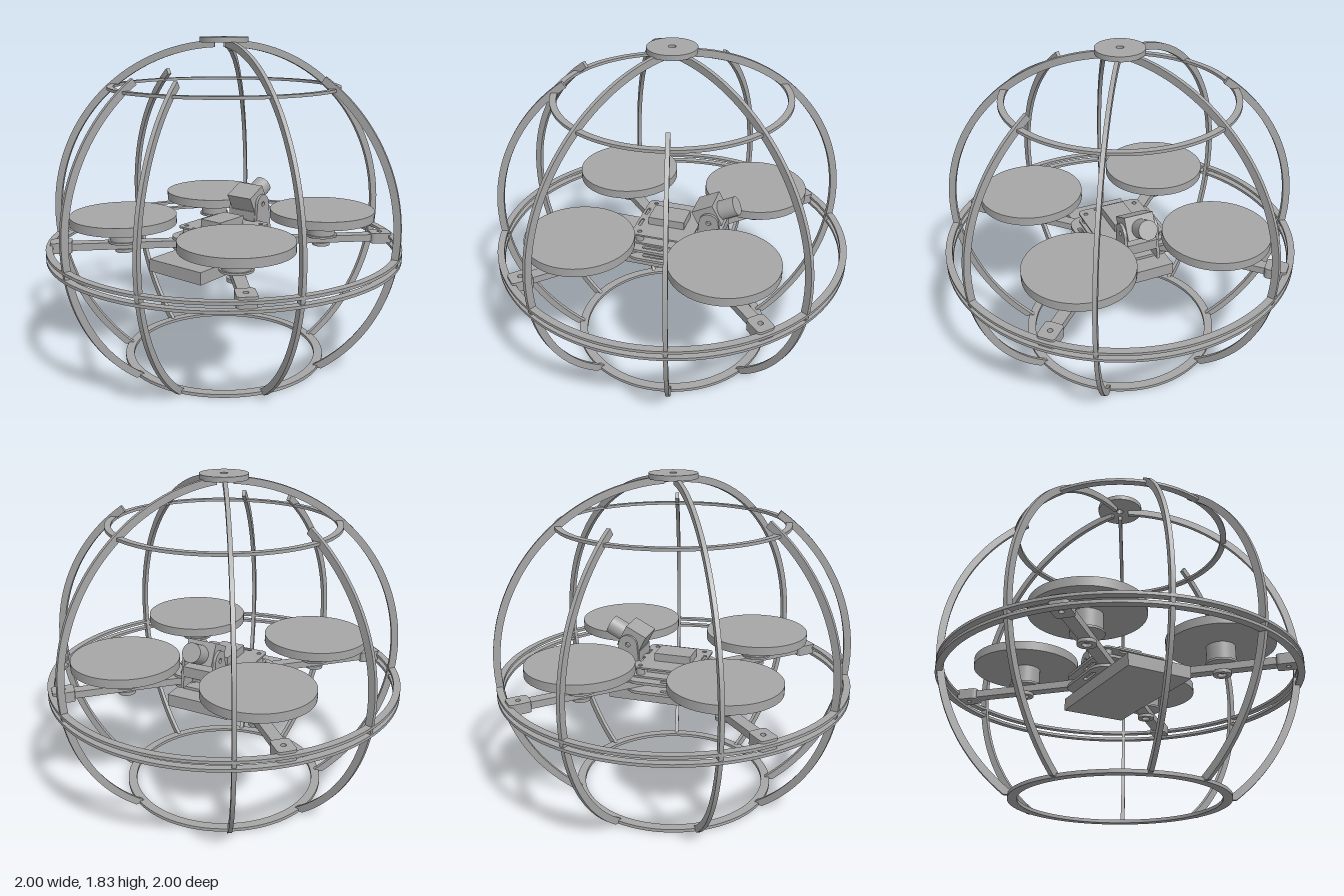
import * as THREE from 'three';
import { toCreasedNormals } from 'three/addons/utils/BufferGeometryUtils.js';

const rad = THREE.MathUtils.degToRad;

export function createModel() {
  const model = new THREE.Group();
  const grey = new THREE.MeshStandardMaterial({ color: 0xa6a6a6 });

  const add = (name, geo, x = 0, y = 0, z = 0, parent = model) => {
    const m = new THREE.Mesh(geo, grey);
    m.name = name;
    m.position.set(x, y, z);
    parent.add(m);
    return m;
  };
  const box = (w, h, d) => new THREE.BoxGeometry(w, h, d);
  const cyl = (r, h, n = 48) => new THREE.CylinderGeometry(r, r, h, n);
  const circle = (r, x = 0, y = 0) => new THREE.Path().absarc(x, y, r, 0, Math.PI * 2, true);
  // Flat part: the outline lies in the ground plane and rises by h
  const plate = (shape, h, seg = 24) => toCreasedNormals(
    new THREE.ExtrudeGeometry(shape, { depth: h, bevelEnabled: false, curveSegments: seg })
      .rotateX(-Math.PI / 2), 0.5);
  const ring = (ro, ri, h) => {
    const s = new THREE.Shape().absarc(0, 0, ro, 0, Math.PI * 2, false);
    s.holes.push(circle(ri));
    return plate(s, h, 96);
  };
  // Rounded rectangle, as an outline or a slot
  const rounded = (P, w, d, r, x = 0, y = 0) => {
    const p = new P(), a = w / 2 - r, b = d / 2 - r;
    p.absarc(x + a, y + b, r, 0, Math.PI / 2, false);
    p.absarc(x - a, y + b, r, Math.PI / 2, Math.PI, false);
    p.absarc(x - a, y - b, r, Math.PI, Math.PI * 1.5, false);
    p.absarc(x + a, y - b, r, Math.PI * 1.5, Math.PI * 2, false);
    p.closePath();
    return p;
  };

  // Cage hoops and the cap
  add('bottomHoop', ring(0.58, 0.53, 0.018));
  add('lowerEquatorHoop', ring(1, 0.962, 0.016), 0, 0.637);
  add('upperEquatorHoop', ring(1, 0.962, 0.016), 0, 0.68);
  add('topHoop', ring(0.637, 0.602, 0.016), 0, 1.556);
  add('topCap', ring(0.132, 0.02, 0.028), 0, 1.802);

  // Cage ribs: four reach the cap, four stop above the top hoop
  const rib = (endOuter, endInner) => {
    const ro = 1.005, ri = 0.966, drop = 0.805;
    const s = new THREE.Shape();
    s.absarc(0, 0, ro, -Math.asin(drop / ro), endOuter, false);
    s.absarc(0, 0, ri, endInner, -Math.asin(drop / ri), true);
    s.closePath();
    const g = new THREE.ExtrudeGeometry(s, { depth: 0.022, bevelEnabled: false, curveSegments: 48 });
    return toCreasedNormals(g.translate(0, 0, -0.011), 0.5);
  };
  const longRib = rib(Math.acos(0.05 / 1.005), Math.acos(0.05 / 0.966));
  const shortRib = rib(rad(55), rad(55));
  for (const a of [30, -30, 120, -120]) add('longRib', longRib, 0, 0.81).rotation.y = rad(a);
  for (const a of [75, -75, 165, -165]) add('shortRib', shortRib, 0, 0.81).rotation.y = rad(a);

  // Arms, each with a motor, a rotor disc and a mounting tab
  const tabShape = rounded(THREE.Shape, 0.12, 0.1, 0.02);
  tabShape.holes.push(circle(0.014));
  const tabGeo = plate(tabShape, 0.06);
  const footShape = new THREE.Shape().absarc(0, 0, 0.05, 0, Math.PI * 2, false);
  footShape.holes.push(circle(0.025));
  const footGeo = plate(footShape, 0.02);
  for (const a of [45, 135, 225, 315]) {
    const arm = new THREE.Group();
    arm.name = 'rotorArm';
    arm.rotation.y = rad(a);
    model.add(arm);
    add('armBeam', box(0.78, 0.04, 0.065), 0.51, 0.68, 0, arm);
    add('cageTab', tabGeo, 0.92, 0.65, 0, arm);
    add('motorFoot', footGeo, 0.57, 0.642, 0, arm);
    add('motorMount', cyl(0.09, 0.012), 0.57, 0.704, 0, arm);
    add('motor', cyl(0.08, 0.1), 0.57, 0.758, 0, arm);
    add('rotorDisc', cyl(0.3, 0.05, 72), 0.57, 0.831, 0, arm);
  }

  // Battery slung below the frame
  add('battery', box(0.75, 0.07, 0.37), -0.05, 0.607, 0);

  // Frame plates with strap slots
  const base = rounded(THREE.Shape, 0.44, 0.5, 0.09);
  for (const s of [-1, 1]) base.holes.push(rounded(THREE.Path, 0.12, 0.025, 0.01, -0.05, s * 0.213));
  const baseGeo = plate(base, 0.016);
  add('lowerFramePlate', baseGeo, 0, 0.643);
  add('upperFramePlate', baseGeo, 0, 0.7);

  // Electronics stack on standoffs
  const board = rounded(THREE.Shape, 0.38, 0.38, 0.03);
  for (const x of [-0.145, 0.145]) {
    for (const z of [-0.155, 0.155]) {
      board.holes.push(circle(0.013, x, z));
      add('standoff', cyl(0.024, 0.055, 20), x, 0.742, z);
    }
    board.holes.push(rounded(THREE.Path, 0.02, 0.07, 0.009, x * 1.15, 0.06));
    board.holes.push(rounded(THREE.Path, 0.02, 0.07, 0.009, x * 1.15, -0.06));
  }
  const boardGeo = plate(board, 0.01);
  add('lowerBoard', boardGeo, 0, 0.716);
  add('upperBoard', boardGeo, 0, 0.768);
  add('boardSpacer', box(0.24, 0.045, 0.24), 0, 0.745);
  add('receiver', box(0.21, 0.048, 0.14), -0.015, 0.8);

  // Camera bracket with rounded ears
  const ear = new THREE.Shape();
  ear.moveTo(0.17, 0.7);
  ear.lineTo(0.32, 0.7);
  ear.lineTo(0.295, 0.87);
  ear.absarc(0.24, 0.87, 0.055, 0, Math.PI, false);
  ear.closePath();
  ear.holes.push(circle(0.014, 0.24, 0.87));
  const earGeo = toCreasedNormals(new THREE.ExtrudeGeometry(ear,
    { depth: 0.016, bevelEnabled: false, curveSegments: 20 }).translate(0, 0, -0.008), 0.5);
  for (const z of [-0.094, 0.094]) add('cameraEar', earGeo, 0, 0, z);
  add('cameraBase', box(0.14, 0.06, 0.172), 0.245, 0.798);

  // Camera, tipped upward
  const camera = new THREE.Group();
  camera.name = 'camera';
  camera.position.set(0.225, 0.886, 0);
  camera.rotation.z = rad(27);
  model.add(camera);
  add('cameraBody', box(0.13, 0.13, 0.168), 0, 0, 0, camera);
  add('cameraLens', cyl(0.054, 0.1).rotateZ(Math.PI / 2), 0.113, -0.012, 0, camera);

  return model;
}
